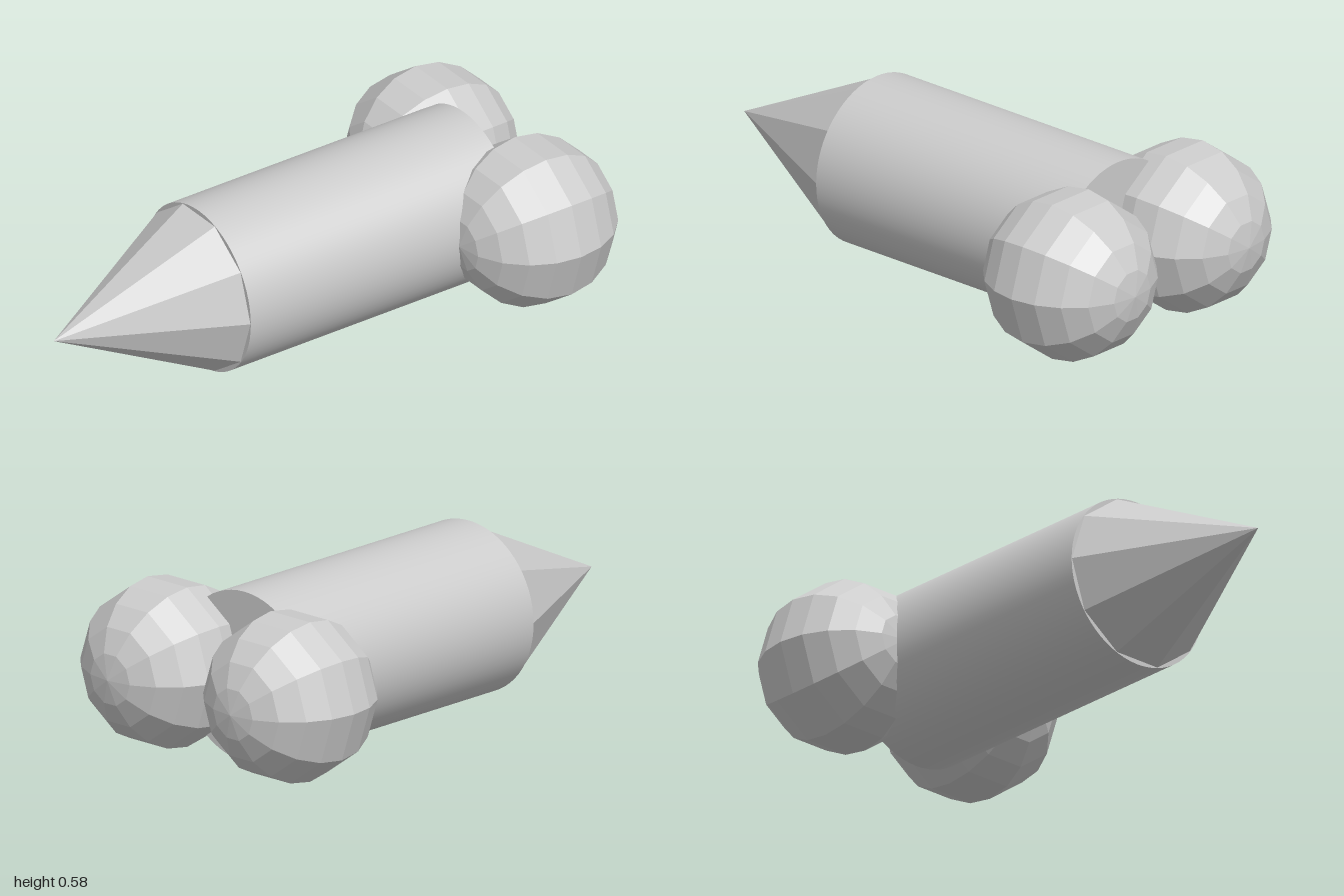
import * as THREE from 'three';

export function createModel() {
  const group = new THREE.Group();
  const smooth = new THREE.MeshStandardMaterial({ color: 0xcccccc });
  const faceted = new THREE.MeshStandardMaterial({ color: 0xcccccc, flatShading: true });

  // Every part is a solid of revolution laid along z
  const add = (name, geometry, material, x, y, z) => {
    const mesh = new THREE.Mesh(geometry.rotateX(Math.PI / 2), material);
    mesh.name = name;
    mesh.position.set(x, y, z);
    group.add(mesh);
  };

  const axisX = -0.015, axisY = 0.293;
  const bodyBack = -0.655, bodyFront = 0.415, tip = 1;

  // Smooth cylindrical body
  add('body', new THREE.CylinderGeometry(0.292, 0.292, bodyFront - bodyBack, 64),
    smooth, axisX, axisY, (bodyFront + bodyBack) / 2);

  // Ten-sided pointed nose, with corners on the horizontal axis
  add('noseCone', new THREE.ConeGeometry(0.29, tip - bodyFront, 10, 1, false, Math.PI / 2),
    faceted, axisX, axisY, (tip + bodyFront) / 2);

  // Pair of low-poly spheres at the rear, poles facing front and back
  for (const [name, side] of [['leftSphere', 1], ['rightSphere', -1]]) {
    add(name, new THREE.SphereGeometry(0.288, 10, 10), faceted, side * 0.277, 0.295, -0.712);
  }

  return group;
}
